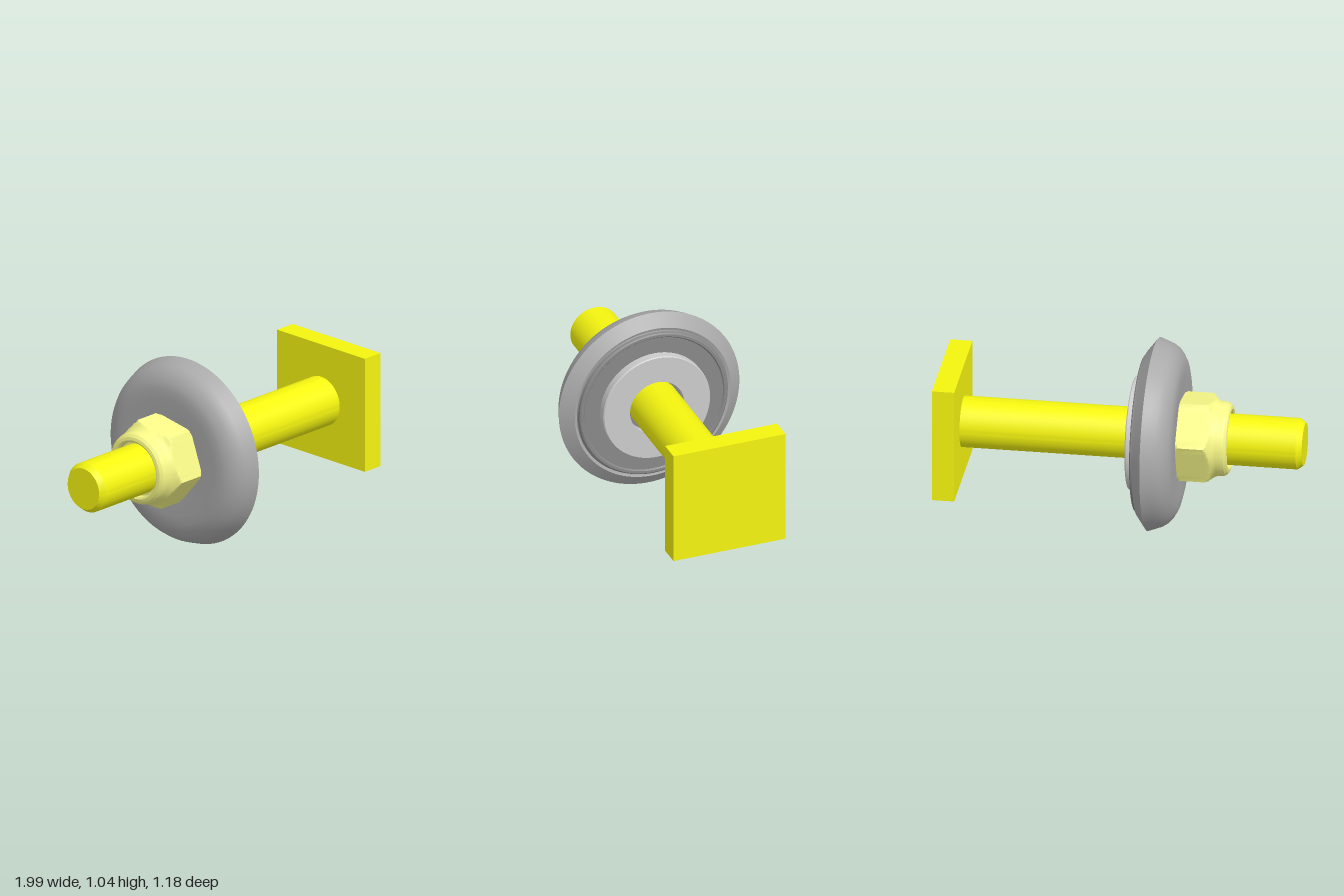
import * as THREE from 'three';
import { toCreasedNormals } from 'three/addons/utils/BufferGeometryUtils.js';

const material = (color) => new THREE.MeshStandardMaterial({ color });

// Turned part: profile points are [radius, position along the axis]
function turned(name, profile, color, segments = 96) {
  const points = profile.map(([r, s]) => new THREE.Vector2(r, s));
  const geometry = new THREE.LatheGeometry(points, segments);
  const mesh = new THREE.Mesh(toCreasedNormals(geometry, 0.5), material(color));
  mesh.name = name;
  return mesh;
}

// Hex nut: a turned body whose radius is clamped to a hexagon
function hexNut(profile, corner, turn, color) {
  const geometry = new THREE.LatheGeometry(profile.map(([r, s]) => new THREE.Vector2(r, s)), 120);
  geometry.rotateY(turn);
  const p = geometry.attributes.position;
  const sector = Math.PI / 3;
  for (let i = 0; i < p.count; i++) {
    const x = p.getX(i), z = p.getZ(i);
    const r = Math.hypot(x, z);
    const a = Math.atan2(x, z) - turn + 4 * Math.PI;
    const offset = (a % sector) - sector / 2;
    const limit = corner * Math.cos(sector / 2) / Math.cos(offset);
    const k = Math.min(1, limit / r);
    p.setX(i, x * k);
    p.setZ(i, z * k);
  }
  const mesh = new THREE.Mesh(toCreasedNormals(geometry, 0.45), material(color));
  mesh.name = 'lockNut';
  return mesh;
}

export function createModel() {
  const model = new THREE.Group();
  model.name = 'boltAssembly';

  // Everything sits on one axis (local y), laid horizontal and turned 20 degrees
  const axis = new THREE.Group();
  axis.name = 'axis';
  axis.rotation.set(0, THREE.MathUtils.degToRad(20), -Math.PI / 2, 'YXZ');
  axis.position.set(0.011, 0.522, 0.029);
  model.add(axis);

  // Square end plate
  const plate = new THREE.Mesh(new THREE.BoxGeometry(0.643, 0.12, 0.643), material(0xf5f510));
  plate.name = 'endPlate';
  plate.position.y = 0.872;
  axis.add(plate);

  // Rod with a chamfered free end
  axis.add(turned('rod', [[0, -1.028], [0.115, -1.028], [0.1375, -0.998], [0.1375, 0.815]], 0xf5f510));

  // Lock nut: rounded collar, chamfer, hexagonal body
  axis.add(hexNut([
    [0.137, -0.6], [0.15, -0.6], [0.152, -0.625], [0.163, -0.632], [0.18, -0.628],
    [0.194, -0.615], [0.2, -0.598], [0.2, -0.575], [0.204, -0.56], [0.213, -0.546],
    [0.222, -0.537], [0.235, -0.528], [0.248, -0.515], [0.248, -0.375],
    [0.235, -0.36], [0.137, -0.36],
  ], 0.247, THREE.MathUtils.degToRad(10), 0xf8f888));

  // Domed cup with a bevelled rim
  axis.add(turned('domedCup', [
    [0.137, -0.362], [0.25, -0.364], [0.33, -0.368], [0.38, -0.366], [0.415, -0.357],
    [0.447, -0.339], [0.472, -0.318], [0.49, -0.291], [0.503, -0.258], [0.518, -0.216],
    [0.448, -0.163], [0.437, -0.168], [0.4, -0.175],
  ], 0xaaaaaa, 128));

  // Seal ring set into the cup
  axis.add(turned('sealRing', [
    [0.437, -0.172], [0.428, -0.165], [0.425, -0.15], [0.418, -0.145], [0.404, -0.145],
    [0.398, -0.152], [0.137, -0.152],
  ], 0x888888, 128));

  // Flat washer around the rod
  axis.add(turned('washer', [
    [0.307, -0.155], [0.307, -0.108], [0.302, -0.102], [0.155, -0.102], [0.155, -0.155],
  ], 0xcccccc));

  return model;
}
